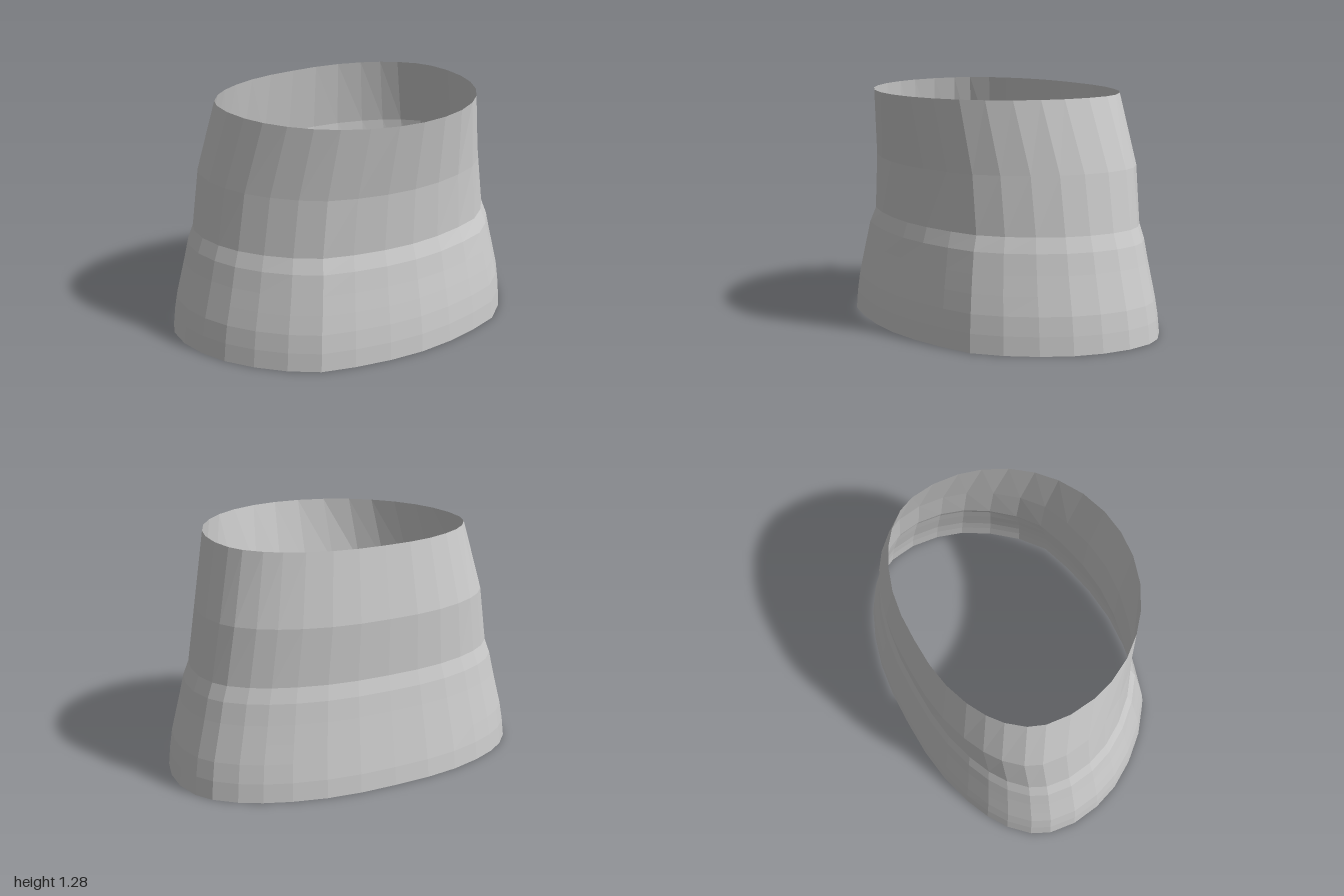
import * as THREE from 'three';

// Hem outline as [x, z], from the back round the +x side to the front
const HALF = [
  [0, -0.69], [0.21, -0.685], [0.4, -0.66], [0.58, -0.61], [0.72, -0.55], [0.83, -0.48],
  [0.93, -0.38], [0.98, -0.28], [1, -0.13], [0.98, 0.03], [0.93, 0.18], [0.84, 0.33],
  [0.72, 0.47], [0.58, 0.58], [0.4, 0.635], [0.2, 0.675], [0, 0.69],
];

// Rings: height, half width, back z, front z, roundness of the front
const RINGS = [
  [0, 1, -0.69, 0.69, 0],
  [0.1, 0.99, -0.682, 0.684, 0],
  [0.2, 0.975, -0.667, 0.672, 0],
  [0.3, 0.95, -0.652, 0.655, 0],
  [0.4, 0.925, -0.637, 0.636, 0],
  [0.51, 0.9, -0.622, 0.618, 0.1],
  [0.59, 0.87, -0.602, 0.59, 0.2],
  [0.9, 0.82, -0.613, 0.603, 0.4],
  [1.28, 0.73, -0.556, 0.67, 1],
];

// Mirrored outline, scaled into the bounds of one ring
function ringPoints([y, width, back, front, round]) {
  const right = HALF.map(([x, z]) => {
    const arc = -0.13 + 0.82 * Math.sqrt(1 - x * x);
    const shaped = z > -0.13 ? THREE.MathUtils.lerp(z, arc, round) : z;
    return [x * width, y, THREE.MathUtils.mapLinear(shaped, -0.69, 0.69, back, front)];
  });
  const left = right.slice(1, -1).reverse().map(([x, h, z]) => [-x, h, z]);
  return [...right, ...left];
}

// Open tube skinned over the rings
function loft(rings) {
  const n = rings[0].length;
  const index = [];
  for (let i = 0; i < rings.length - 1; i++) {
    for (let j = 0; j < n; j++) {
      const a = i * n + j, b = i * n + (j + 1) % n;
      index.push(a, a + n, b, b, a + n, b + n);
    }
  }
  const geometry = new THREE.BufferGeometry();
  geometry.setAttribute('position', new THREE.Float32BufferAttribute(rings.flat(2), 3));
  geometry.setIndex(index);
  geometry.computeVertexNormals();
  return geometry;
}

export function createModel() {
  const group = new THREE.Group();
  group.name = 'flaredSleeve';
  const material = new THREE.MeshStandardMaterial({
    color: 0xcccccc, flatShading: true, side: THREE.DoubleSide,
  });
  const sleeve = new THREE.Mesh(loft(RINGS.map(ringPoints)), material);
  sleeve.name = 'sleeveWall';
  group.add(sleeve);
  return group;
}
